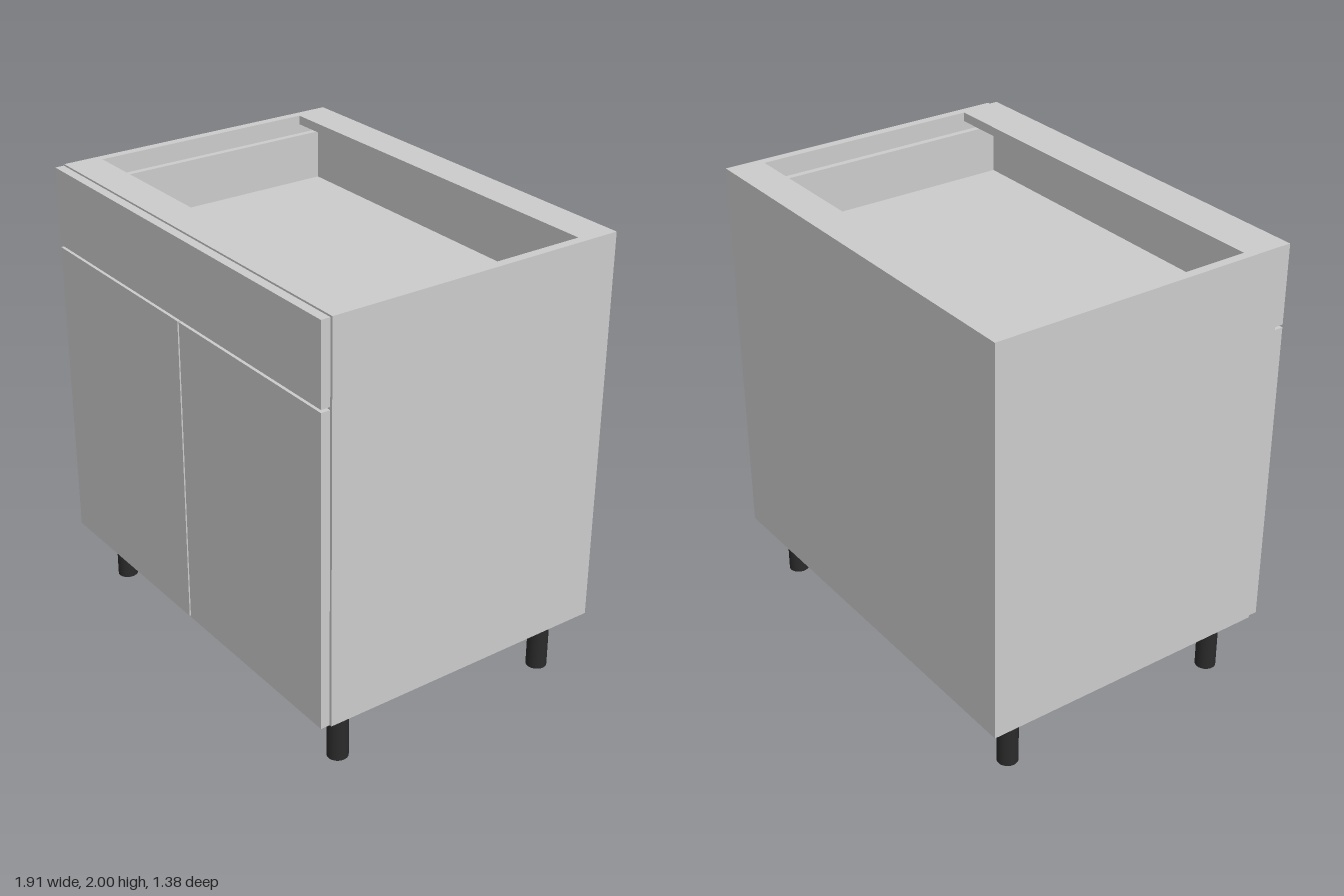
import * as THREE from 'three';

export function createModel() {
  const model = new THREE.Group();
  model.name = 'baseCabinet';
  const grey = new THREE.MeshStandardMaterial({ color: 0xcccccc });
  const black = new THREE.MeshStandardMaterial({ color: 0x2a2a2a });

  // Board given by its extents along each axis
  const board = (name, [x0, x1], [y0, y1], [z0, z1], parent = model) => {
    const mesh = new THREE.Mesh(new THREE.BoxGeometry(x1 - x0, y1 - y0, z1 - z0), grey);
    mesh.position.set((x0 + x1) / 2, (y0 + y1) / 2, (z0 + z1) / 2);
    mesh.name = name;
    parent.add(mesh);
  };
  // Extent on the left (+x) or mirrored to the right
  const span = (s, a, b) => (s > 0 ? [a, b] : [-b, -a]);
  const sides = [[1, 'left'], [-1, 'right']];

  const W = 0.953, T = 0.04, IN = W - T;      // half width, board thickness, inner half width
  const BASE = 0.265, TOP = 2;
  const BACK = -0.69, FRONT = 0.645;
  const inner = [-IN, IN];

  // Carcass
  for (const [s, n] of sides) board(n + 'SidePanel', span(s, IN, W), [BASE, TOP], [BACK, FRONT]);
  board('bottomPanel', inner, [BASE, BASE + T], [BACK, FRONT]);
  board('backPanel', inner, [BASE + T, TOP - T], [BACK, BACK + T]);
  board('backTopRail', inner, [TOP - T, TOP], [BACK, -0.53]);
  board('frontTopRail', inner, [TOP - T, TOP], [0.485, FRONT]);
  board('shelf', inner, [1.115, 1.155], [BACK + T, 0.6]);

  // Drawer box behind its front
  const drawer = new THREE.Group();
  drawer.name = 'drawer';
  model.add(drawer);
  const wallY = [1.68, 1.925], DX = 0.868;
  for (const [s, n] of sides) board(n + 'DrawerSide', span(s, DX, 0.896), wallY, [-0.63, FRONT], drawer);
  board('drawerBack', [-DX, DX], wallY, [-0.63, -0.6], drawer);
  board('drawerInnerFront', [-DX, DX], wallY, [0.615, FRONT], drawer);
  board('drawerBottom', [-DX, DX], [1.68, 1.71], [-0.6, 0.615], drawer);
  board('drawerFront', [-0.948, 0.948], [1.652, 1.996], [0.65, 0.69], drawer);

  // Pair of doors
  for (const [s, n] of sides) board(n + 'Door', span(s, 0.005, 0.948), [0.27, 1.64], [0.65, 0.69]);

  // Round legs
  const legGeometry = new THREE.CylinderGeometry(0.045, 0.045, BASE, 32);
  for (const [s, n] of sides) {
    for (const [z, end] of [[0.525, 'Front'], [-0.54, 'Back']]) {
      const leg = new THREE.Mesh(legGeometry, black);
      leg.position.set(s * 0.832, BASE / 2, z);
      leg.name = n + end + 'Leg';
      model.add(leg);
    }
  }
  return model;
}
